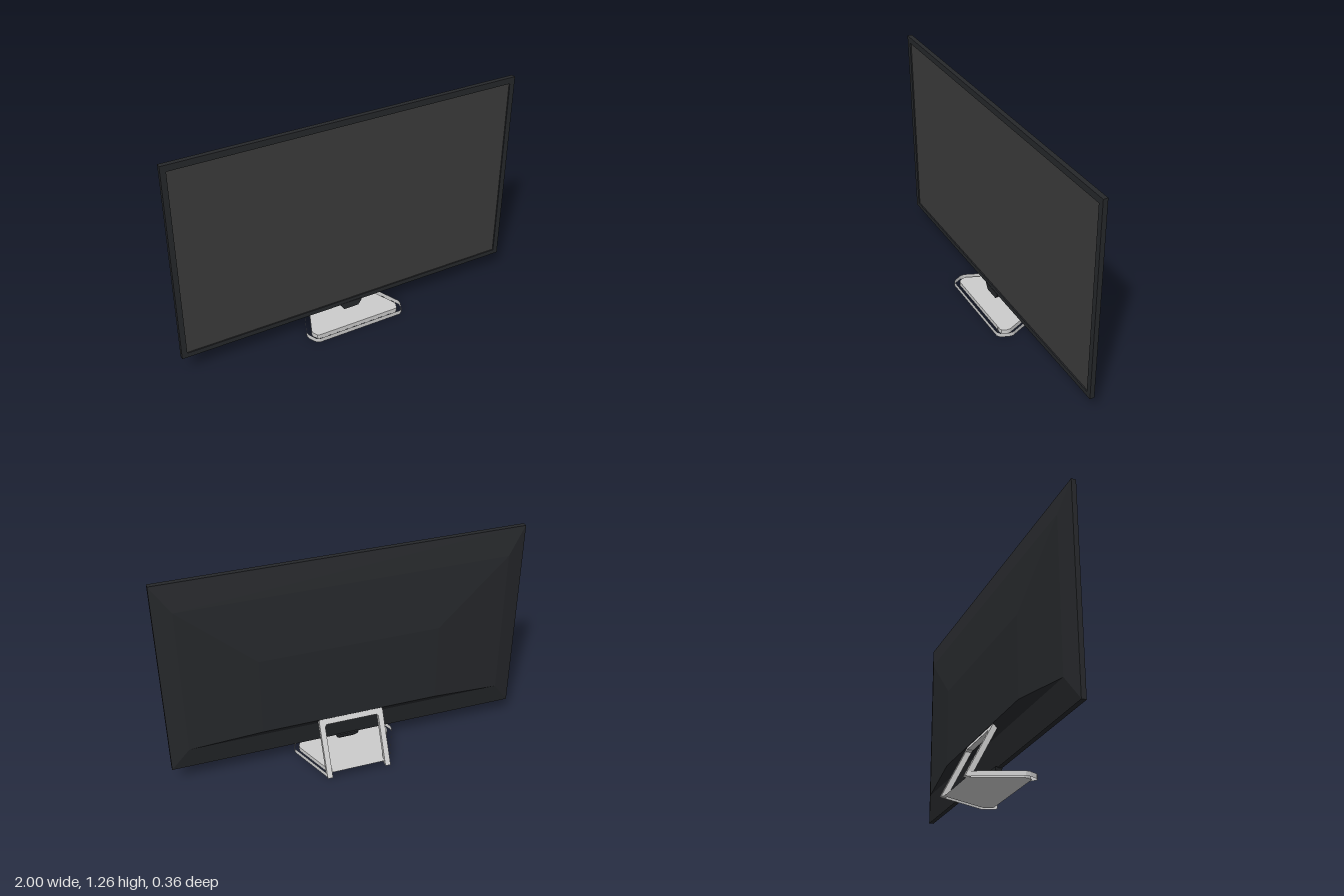
import * as THREE from 'three';

const dark = new THREE.MeshStandardMaterial({ color: 0x25272a, flatShading: true });
const glass = new THREE.MeshStandardMaterial({ color: 0x3a3a3a });
const metal = new THREE.MeshStandardMaterial({ color: 0xcccccc, flatShading: true });

function part(name, geometry, material) {
  const mesh = new THREE.Mesh(geometry, material);
  mesh.name = name;
  return mesh;
}

// Shape from the +x half of a symmetrical outline, mirrored to -x
function mirrored(half) {
  const other = half.map(([x, y]) => [-x, y]).reverse();
  return new THREE.Shape([...half, ...other].map(([x, y]) => new THREE.Vector2(x, y)));
}

function rectPath(x, y0, y1) {
  return [[-x, y0], [x, y0], [x, y1], [-x, y1]].map(([a, b]) => new THREE.Vector2(a, b));
}

// Joins four-cornered rings (counter-clockwise seen from the end of travel), with end caps
function loft(rings) {
  const index = [];
  for (let r = 0; r < rings.length - 1; r++) {
    for (let i = 0; i < 4; i++) {
      const a = r * 4 + i, b = r * 4 + (i + 1) % 4;
      index.push(a, b, b + 4, a, b + 4, a + 4);
    }
  }
  const e = (rings.length - 1) * 4;
  index.push(0, 2, 1, 0, 3, 2, e, e + 1, e + 2, e, e + 2, e + 3);
  const g = new THREE.BufferGeometry();
  g.setAttribute('position', new THREE.Float32BufferAttribute(rings.flat(2), 3));
  g.setIndex(index);
  const flat = g.toNonIndexed();
  flat.computeVertexNormals();
  return flat;
}

export function createModel() {
  const model = new THREE.Group();
  model.name = 'television';

  // Bezel around a slightly recessed screen
  const bezelShape = new THREE.Shape(rectPath(1, 0.11, 1.26));
  bezelShape.holes.push(new THREE.Path(rectPath(0.97, 0.137, 1.225)));
  const bezel = new THREE.ExtrudeGeometry(bezelShape, { depth: 0.026, bevelEnabled: false });
  bezel.translate(0, 0, 0.041);
  model.add(part('bezel', bezel, dark));

  const screen = new THREE.BoxGeometry(1.95, 1.1, 0.018);
  screen.translate(0, 0.681, 0.051);
  model.add(part('screen', screen, glass));

  // Back shell steps in towards the thick electronics housing
  const backRing = (x, y0, y1, z) => [[x, y0, z], [-x, y0, z], [-x, y1, z], [x, y1, z]];
  model.add(part('backShell', loft([
    backRing(1, 0.11, 1.26, 0.042),
    backRing(0.9, 0.25, 1.11, 0.01),
    backRing(0.5, 0.30, 0.76, -0.03),
  ]), dark));

  // Tapered sensor housing under the bezel
  const chinRing = (x, y, z0, z1) => [[-x, y, z0], [x, y, z0], [x, y, z1], [-x, y, z1]];
  model.add(part('sensorHousing', loft([
    chinRing(0.067, 0.115, 0.03, 0.069),
    chinRing(0.062, 0.10, 0.033, 0.069),
    chinRing(0.045, 0.075, 0.052, 0.069),
  ]), dark));

  const stand = new THREE.Group();
  stand.name = 'stand';
  model.add(stand);

  // Flat base loop, open at the back; shape y becomes z
  const baseShape = mirrored([
    [0.155, -0.165], [0.185, -0.165], [0.295, 0.095], [0.293, 0.12], [0.272, 0.165], [0.255, 0.176],
  ].slice(1));
  const baseHalf = [
    [0.255, 0.176], [0.272, 0.165], [0.293, 0.12], [0.295, 0.095], [0.185, -0.165],
    [0.155, -0.165], [0.266, 0.098], [0.265, 0.118], [0.252, 0.143], [0.242, 0.148],
  ];
  baseShape.setFromPoints([
    ...baseHalf,
    ...baseHalf.map(([x, z]) => [-x, z]).reverse(),
  ].map(([x, z]) => new THREE.Vector2(x, z)));
  const base = new THREE.ExtrudeGeometry(baseShape, { depth: 0.026, bevelEnabled: false });
  base.rotateX(Math.PI / 2);
  base.translate(0, 0.026, 0);
  stand.add(part('baseLoop', base, metal));

  // Upright frame: two legs and a crossbar, leaning forward into the back shell
  const frame = new THREE.ExtrudeGeometry(mirrored([
    [0.145, 0.27], [0.155, 0.26], [0.155, 0], [0.185, 0], [0.185, 0.29], [0.175, 0.302],
  ]), { depth: 0.033, bevelEnabled: false });
  const p = frame.attributes.position;
  for (let i = 0; i < p.count; i++) p.setZ(i, p.getZ(i) - 0.18 + 0.508 * p.getY(i));
  frame.computeVertexNormals();
  stand.add(part('uprightFrame', frame, metal));

  return model;
}
